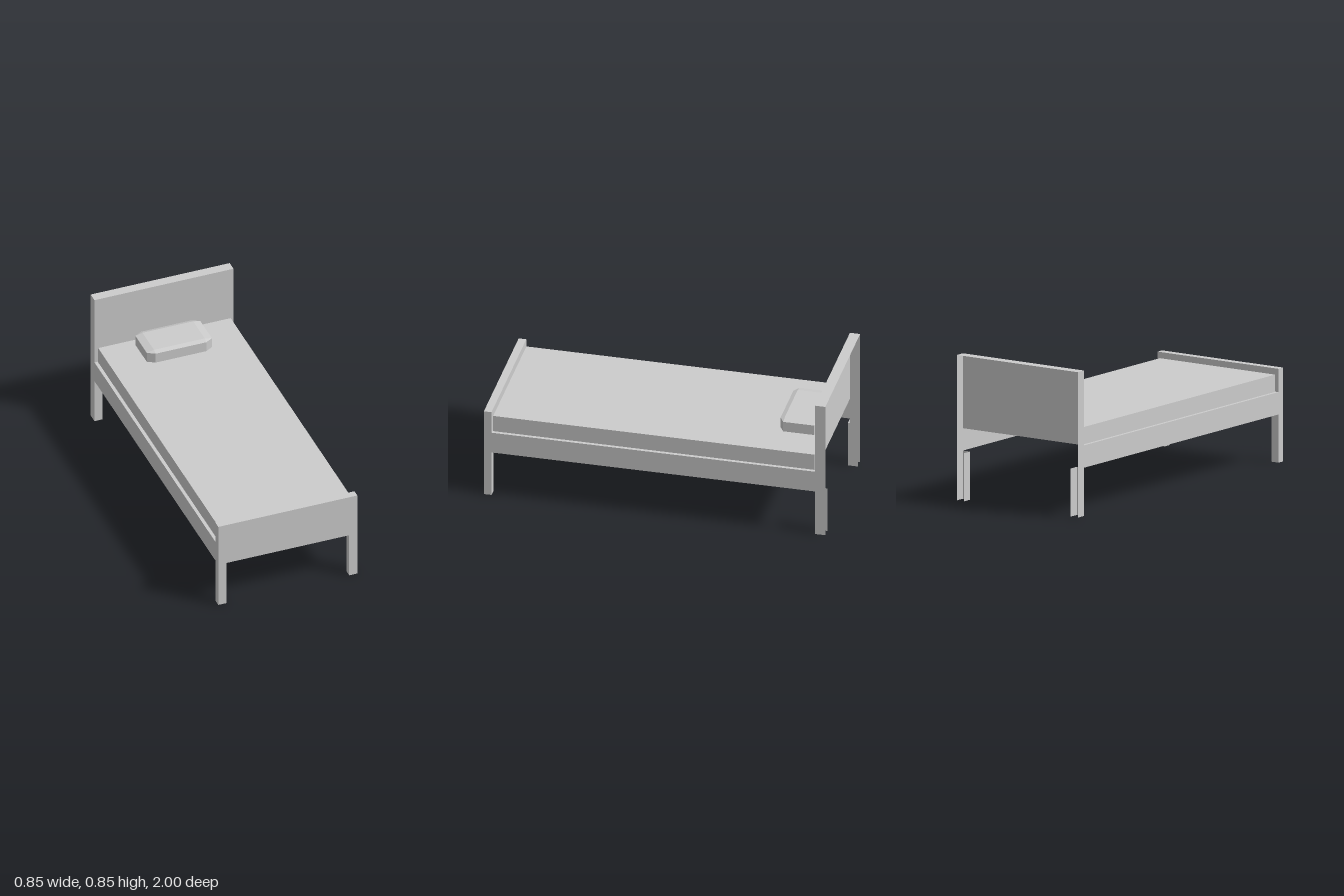
import * as THREE from 'three';
import { ConvexGeometry } from 'three/addons/geometries/ConvexGeometry.js';

const SIDES = ['px', 'nx', 'py', 'ny', 'pz', 'nz'];

export function createModel() {
  const bed = new THREE.Group();
  bed.name = 'bed';
  const grey = new THREE.MeshStandardMaterial({ color: 0xcccccc, side: THREE.DoubleSide });
  grey.name = 'lightGrey';

  // A box shell that keeps only the listed sides
  function shell(name, [x0, x1], [y0, y1], [z0, z1], keep) {
    const geo = new THREE.BoxGeometry(x1 - x0, y1 - y0, z1 - z0);
    const all = Array.from(geo.index.array);
    geo.setIndex(keep.split(' ').flatMap((s) => {
      const start = SIDES.indexOf(s) * 6;
      return all.slice(start, start + 6);
    }));
    geo.clearGroups();
    geo.translate((x0 + x1) / 2, (y0 + y1) / 2, (z0 + z1) / 2);
    add(name, geo);
  }

  function add(name, geo) {
    const mesh = new THREE.Mesh(geo, grey);
    mesh.name = name;
    bed.add(mesh);
  }

  const W = 0.425, LEG = 0.375, UNDER = 0.28, LEDGE = 0.41;
  const HEAD = -0.94, FOOT = 0.955;
  const MX = 0.405, MZ0 = -0.933, MZ1 = 0.95;

  // Headboard, open at the back, and footboard
  shell('headboard', [-W, W], [LEDGE, 0.845], [-1, HEAD], 'px nx py pz');
  shell('footboard', [-W, W], [UNDER, 0.545], [FOOT, 1], 'px nx py pz');
  shell('footboardInside', [-W, W], [LEDGE, 0.545], [FOOT, 1], 'nz');

  // Legs, posts and side rails on both sides
  for (const [side, s] of [['left', 1], ['right', -1]]) {
    const span = s > 0 ? [LEG, W] : [-W, -LEG];
    const outer = s > 0 ? 'px' : 'nx';
    shell(side + 'BackLeg', span, [0, UNDER], [-1, HEAD], 'px nx pz');
    shell(side + 'BackPost', span, [UNDER, LEDGE], [-1, HEAD], outer);
    shell(side + 'FrontLeg', span, [0, UNDER], [FOOT, 1], 'px nx pz nz');
    shell(side + 'SideRail', span, [UNDER, LEDGE], [HEAD, FOOT], outer);
  }

  // Narrow ledge around the mattress
  const ledge = new THREE.Shape([
    [-W, HEAD], [W, HEAD], [W, FOOT], [-W, FOOT],
  ].map(([x, z]) => new THREE.Vector2(x, -z)));
  ledge.holes.push(new THREE.Path([
    [-MX, MZ0], [MX, MZ0], [MX, MZ1], [-MX, MZ1],
  ].map(([x, z]) => new THREE.Vector2(x, -z))));
  add('railLedge', new THREE.ShapeGeometry(ledge).rotateX(-Math.PI / 2).translate(0, LEDGE, 0));

  // Mattress, open underneath
  shell('mattress', [-MX, MX], [LEDGE, 0.51], [MZ0, MZ1], 'px nx py pz nz');

  // Pillow with cut corners and bevelled edges
  const points = [];
  for (const sx of [-1, 1]) for (const sz of [-1, 1]) {
    for (const [x, y, z] of [
      [0.155, 0.588, 0.09], [0.155, 0.578, 0.116], [0.199, 0.578, 0.09],
      [0.155, 0.507, 0.09], [0.155, 0.516, 0.116], [0.199, 0.516, 0.09],
    ]) points.push(new THREE.Vector3(sx * x, y, -0.789 + sz * z));
  }
  add('pillow', new ConvexGeometry(points));

  return bed;
}
